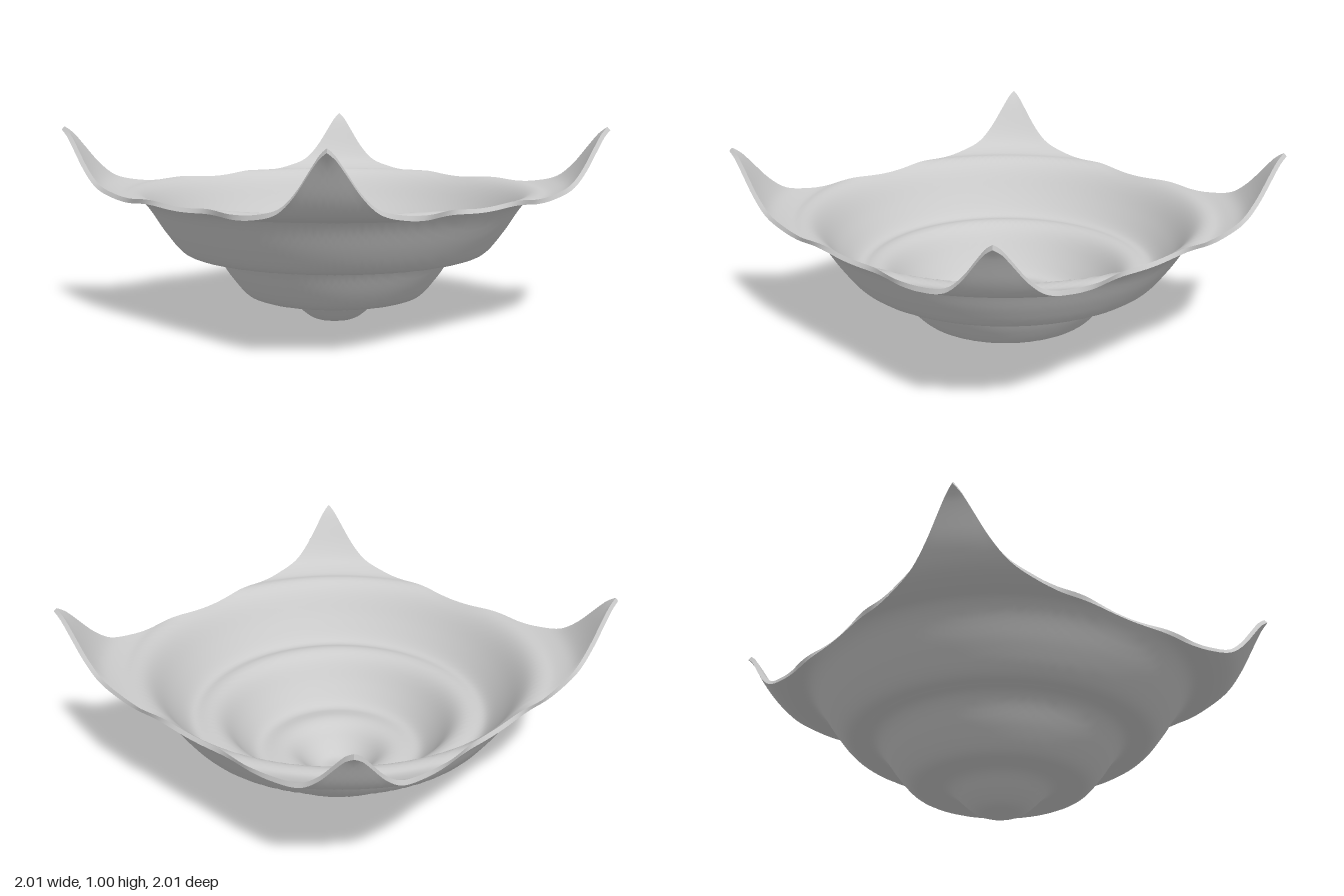
import * as THREE from 'three';

// Underside profile: radius from the centre, height
const PROFILE = [
  [-0.07, 0], [0, 0.008], [0.07, 0], [0.12, 0.01], [0.19, 0.065], [0.25, 0.125], [0.3, 0.143],
  [0.35, 0.138], [0.41, 0.13], [0.46, 0.147], [0.54, 0.24], [0.63, 0.365], [0.675, 0.383],
  [0.74, 0.37], [0.79, 0.385], [0.88, 0.495], [0.97, 0.63], [1.015, 0.665], [1.08, 0.66],
  [1.13, 0.67], [1.22, 0.715], [1.28, 0.79], [1.345, 0.9], [1.38, 0.955], [1.42, 0.993],
];
const THICKNESS = 0.023;
const CELLS = 80;

const spline = new THREE.CubicInterpolant(
  PROFILE.map((p) => p[0]), PROFILE.map((p) => p[1]), 1, [0]);
const height = (r) => spline.evaluate(r)[0];

export function createModel() {
  const group = new THREE.Group();
  group.name = 'rippledDish';

  // A thin square slab, its two faces bent to the rippled profile
  const geometry = new THREE.BoxGeometry(2, 1, 2, CELLS, 1, CELLS);
  const pos = geometry.attributes.position;
  for (let i = 0; i < pos.count; i++) {
    const x = pos.getX(i), z = pos.getZ(i), r = Math.hypot(x, z);
    const y = height(r);
    if (pos.getY(i) < 0) {
      pos.setXYZ(i, x, y, z);
      continue;
    }
    // Upper face: offset along the surface normal
    const e = 0.01;
    const slope = r < 1e-6 ? 0 : (height(Math.min(r + e, 1.42)) - height(r - e)) / (Math.min(r + e, 1.42) - r + e);
    const up = THICKNESS / Math.hypot(1, slope);
    const inward = r < 1e-6 ? 0 : Math.min(slope * up / r, 1);
    pos.setXYZ(i, x * (1 - inward), y + up, z * (1 - inward));
  }
  geometry.computeVertexNormals();

  const dish = new THREE.Mesh(geometry, new THREE.MeshStandardMaterial({ color: 0xcccccc }));
  dish.name = 'rippledSheet';
  group.add(dish);
  return group;
}
